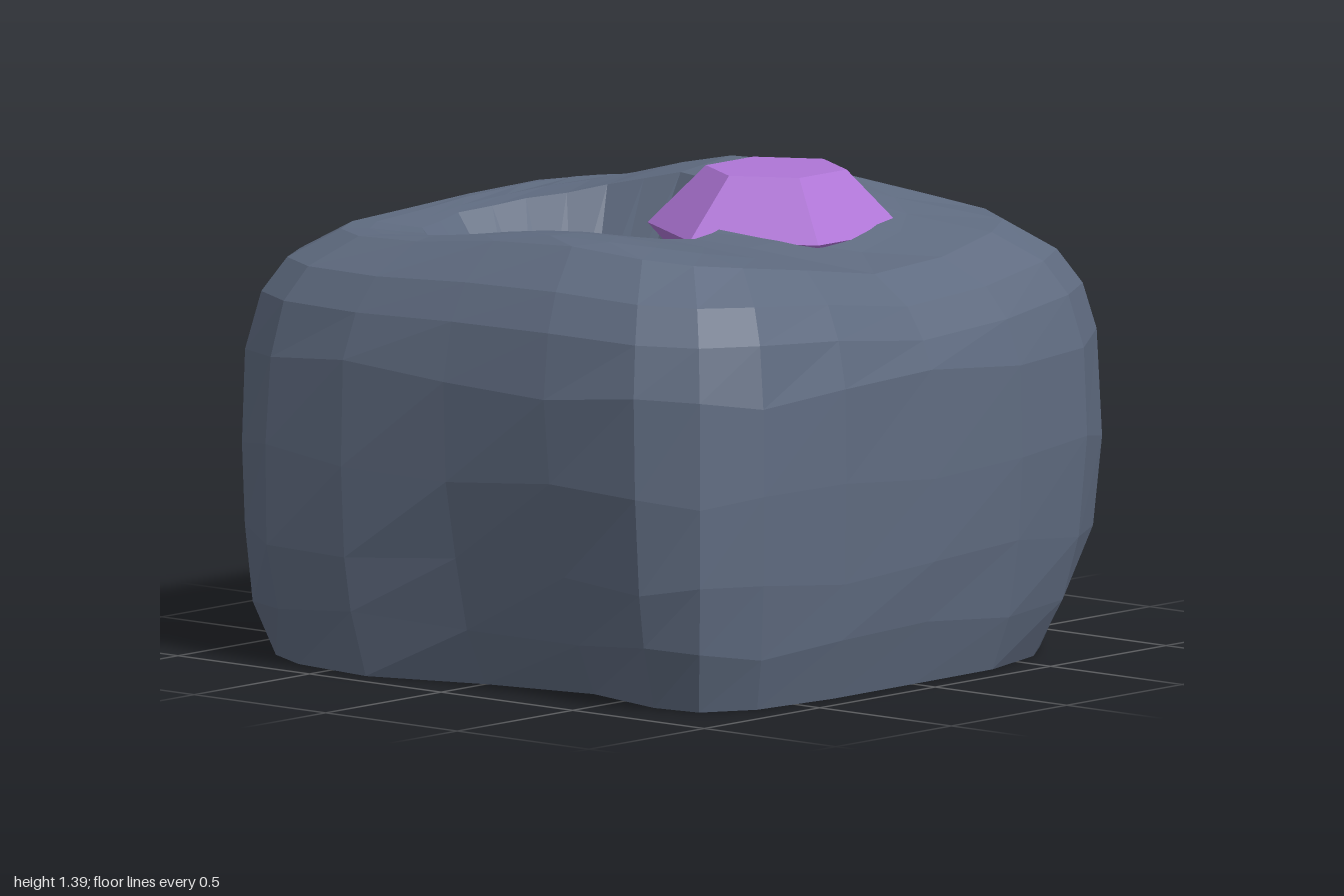
import * as THREE from 'three';

const SIDES = 24;
const CRATER = { x: -0.225, z: -0.165, rim: 0.45 };

const bump = (x, z, cx, cz, rx, rz) => Math.exp(-(((x - cx) / rx) ** 2) - ((z - cz) / rz) ** 2);

// Height of the uneven upper surface
function topHeight(x, z) {
  return 1.255
    + 0.125 * bump(x, z, 0.39, -0.03, 0.32, 0.42)
    + 0.055 * bump(x, z, -0.68, 0.25, 0.25, 0.42)
    - 0.04 * bump(x, z, -0.4, -0.48, 0.35, 0.3)
    - 0.02 * bump(x, z, 0.65, -0.65, 0.3, 0.3)
    - 0.08 * bump(x, z, 0.1, 0.75, 0.4, 0.4);
}

// Rounded-square outline of the boulder, with its points gathered at the corners
function outline(angle, scale) {
  const a = angle + 0.12 * Math.sin(4 * angle);
  const c = Math.cos(a), s = Math.sin(a);
  const r = scale * (Math.abs(c) ** 5 + Math.abs(s) ** 5) ** (-1 / 5);
  return [r * c, r * s];
}

function ring(fn) {
  return Array.from({ length: SIDES }, (_, j) => fn((j / SIDES) * Math.PI * 2, j));
}

// Joins a stack of closed rings, with a flat bottom and a centre point on top
function skinRings(rings, bottom, top) {
  const positions = [], index = [];
  rings.forEach((r) => r.forEach((p) => positions.push(...p)));
  const bottomId = positions.length / 3, topId = bottomId + 1;
  positions.push(...bottom, ...top);
  const last = (rings.length - 1) * SIDES;
  for (let j = 0; j < SIDES; j++) {
    const k = (j + 1) % SIDES;
    index.push(bottomId, j, k);
    for (let i = 0; i < last; i += SIDES) {
      const a = i + j, b = i + k, c = b + SIDES, d = a + SIDES;
      index.push(a, d, b, b, d, c);
    }
    index.push(topId, last + k, last + j);
  }
  const geometry = new THREE.BufferGeometry();
  geometry.setAttribute('position', new THREE.Float32BufferAttribute(positions, 3));
  geometry.setIndex(index);
  const flat = geometry.toNonIndexed();
  flat.computeVertexNormals();
  return flat;
}

function boulderGeometry() {
  const rings = [];

  // Side walls: a wide hollow at the foot on the right, a softer front left corner
  const walls = [[0.925, 0], [0.975, 0.17], [0.998, 0.36], [1, 0.62], [0.995, 0.9]];
  walls.forEach(([scale, y], i) => rings.push(ring((angle, j) => {
    const wobble = i === 3 ? 1 : 1 - 0.004 * (1 + Math.sin(j * 2.3 + i * 1.7));
    let [x, z] = outline(angle, scale * wobble);
    const soften = 1 - 0.07 * Math.max(0, 1 - y / 0.5) * bump(x, z, 0.8, 0.8, 0.35, 0.35);
    x *= soften;
    z *= soften;
    if (x < -0.7) x += 0.18 * Math.max(0, 1 - y / 0.75) * Math.exp(-(((z - 0.3) / 0.36) ** 4));
    const lift = i === 0 ? 0 : 0.02 * Math.sin(j * 1.9 + i * 2.1);
    return [x, y + lift, z];
  })));

  // Rounded shoulder
  [[0.955, 0.2], [0.895, 0.1], [0.77, 0.01]].forEach(([scale, drop]) => rings.push(ring((angle) => {
    const [x, z] = outline(angle, scale);
    return [x, topHeight(x, z) - drop, z];
  })));

  // Upper surface running in to the twelve-sided crater rim
  const craterPoint = (angle, j, r) => {
    const f = j % 2 ? Math.cos(Math.PI / 12) : 1;
    return [CRATER.x + r * f * Math.cos(angle), CRATER.z + r * f * Math.sin(angle)];
  };
  [0.35, 0.7, 1].forEach((t) => rings.push(ring((angle, j) => {
    const [ox, oz] = outline(angle, 0.77);
    const [cx, cz] = craterPoint(angle, j, CRATER.rim);
    const x = THREE.MathUtils.lerp(ox, cx, t), z = THREE.MathUtils.lerp(oz, cz, t);
    return [x, topHeight(x, z), z];
  })));

  // Deep crater bowl
  rings.push(ring((angle, j) => {
    const [x, z] = craterPoint(angle, j, 0.24);
    return [x, 0.95, z];
  }));

  return skinRings(rings, [0, 0, 0], [CRATER.x, 0.86, CRATER.z]);
}

export function createModel() {
  const stone = new THREE.MeshStandardMaterial({ color: 0x5f6b80 });
  stone.name = 'slate stone';
  const purple = new THREE.MeshStandardMaterial({ color: 0xae75d6 });
  purple.name = 'purple crystal';

  const model = new THREE.Group();
  model.name = 'crystalBoulder';

  const boulder = new THREE.Mesh(boulderGeometry(), stone);
  boulder.name = 'boulder';
  model.add(boulder);

  // Six-sided crystal, widest at its girdle and half sunk in the stone
  const crystal = new THREE.Group();
  crystal.name = 'crystal';
  crystal.position.set(0.235, 0, 0.19);
  const addFrustum = (name, rTop, rBottom, y0, y1) => {
    const geometry = new THREE.CylinderGeometry(rTop, rBottom, y1 - y0, 6)
      .rotateY(Math.PI / 6).translate(0, (y0 + y1) / 2, 0).toNonIndexed();
    geometry.computeVertexNormals();
    const mesh = new THREE.Mesh(geometry, purple);
    mesh.name = name;
    crystal.add(mesh);
  };
  addFrustum('crystalCrown', 0.205, 0.375, 1.22, 1.39);
  addFrustum('crystalBase', 0.375, 0.205, 1.04, 1.22);
  model.add(crystal);

  return model;
}
